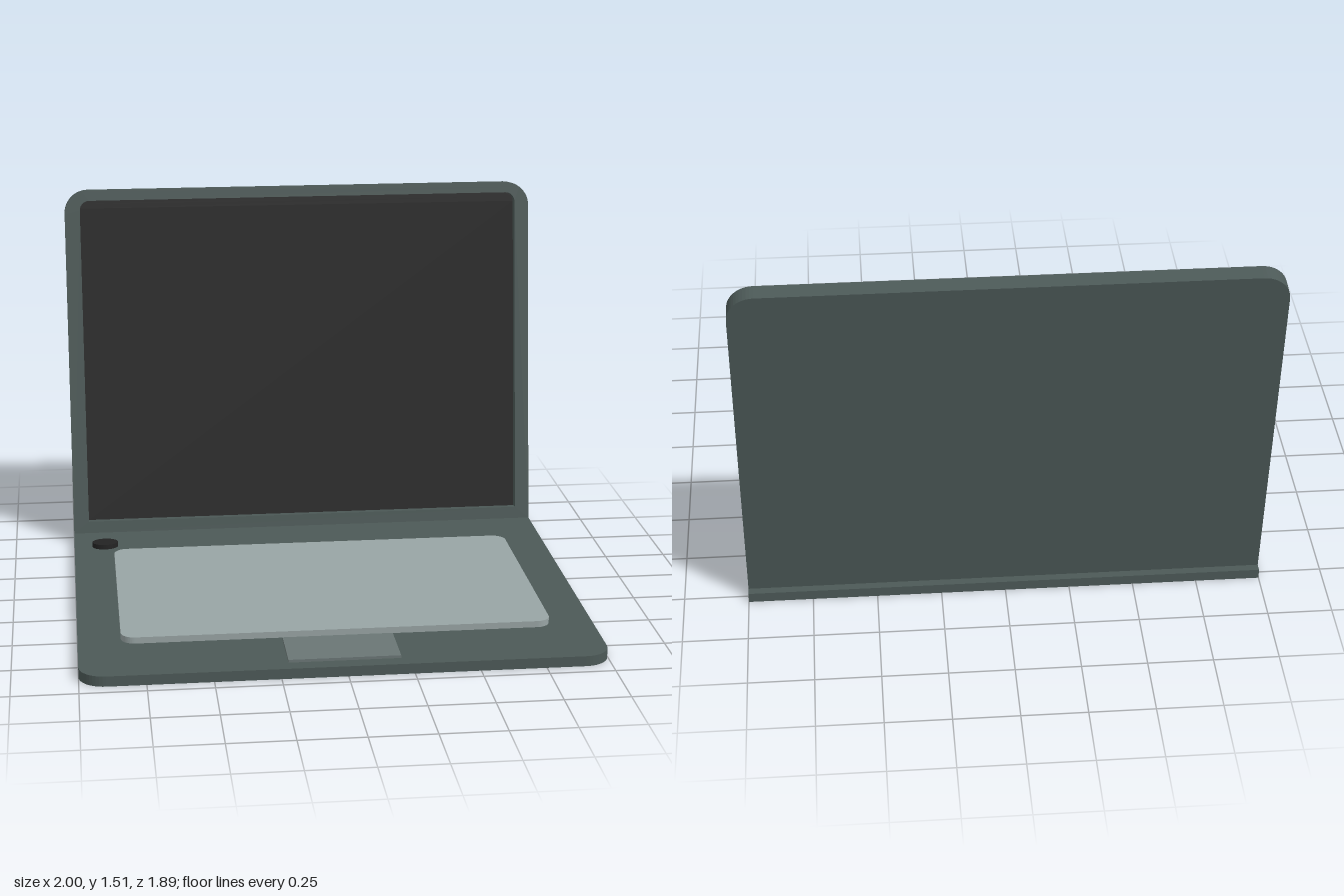
import * as THREE from 'three';

const paint = (name, color) => {
  const m = new THREE.MeshStandardMaterial({ color });
  m.name = name;
  return m;
};

// Traces a rectangle whose bottom and top corners have their own radii
function trace(path, x0, x1, y0, y1, rBottom, rTop) {
  const corner = (cx, cy, r, a) => path.absarc(cx, cy, r, a, a + Math.PI / 2, false);
  path.moveTo(x0 + rBottom, y0);
  path.lineTo(x1 - rBottom, y0);
  if (rBottom) corner(x1 - rBottom, y0 + rBottom, rBottom, -Math.PI / 2);
  path.lineTo(x1, y1 - rTop);
  if (rTop) corner(x1 - rTop, y1 - rTop, rTop, 0);
  path.lineTo(x0 + rTop, y1);
  if (rTop) corner(x0 + rTop, y1 - rTop, rTop, Math.PI / 2);
  path.lineTo(x0, y0 + rBottom);
  if (rBottom) corner(x0 + rBottom, y0 + rBottom, rBottom, Math.PI);
  return path;
}

const extrude = (shape, depth) =>
  new THREE.ExtrudeGeometry(shape, { depth, bevelEnabled: false, curveSegments: 6 });

function addMesh(parent, name, geometry, material) {
  const mesh = new THREE.Mesh(geometry, material);
  mesh.name = name;
  parent.add(mesh);
  return mesh;
}

// Flat slab lying between heights y0 and y1
function addSlab(parent, name, material, [x0, x1, zBack, zFront], y0, y1, rFront, rBack) {
  const shape = trace(new THREE.Shape(), x0, x1, -zFront, -zBack, rFront, rBack);
  const geometry = extrude(shape, y1 - y0).rotateX(-Math.PI / 2).translate(0, y0, 0);
  return addMesh(parent, name, geometry, material);
}

export function createModel() {
  const body = paint('body grey', 0x4c5957);
  const keys = paint('keyboard grey', 0x98a4a4);
  const pad = paint('trackpad grey', 0x6a7675);
  const black = paint('screen black', 0x232323);

  const model = new THREE.Group();
  model.name = 'laptop';

  // Base with rounded front corners, and the raised plates on it
  addSlab(model, 'base', body, [-1, 1, -0.785, 0.945], 0, 0.04, 0.1, 0);
  addSlab(model, 'keyboard', keys, [-0.835, 0.83, -0.39, 0.63], 0.038, 0.065, 0.055, 0.055);
  addSlab(model, 'trackpad', pad, [-0.22, 0.205, 0.655, 0.885], 0.038, 0.051, 0, 0);

  // Oval power button
  const button = addMesh(model, 'powerButton', new THREE.CylinderGeometry(1, 1, 0.022, 24), black);
  button.scale.set(0.054, 1, 0.042);
  button.position.set(-0.87, 0.049, -0.505);

  // Lid leaning back: local z = 0 is its front face
  const lid = new THREE.Group();
  lid.name = 'lid';
  lid.position.set(0, 0.04, -0.685);
  lid.rotation.x = -0.129;
  model.add(lid);

  const height = 1.482, thickness = 0.068, recess = 0.044;
  const outline = () => trace(new THREE.Shape(), -1, 1, 0, height, 0, 0.1);
  const opening = (path) => trace(path, -0.935, 0.94, 0.05, 1.438, 0, 0.04);

  const frame = outline();
  frame.holes.push(opening(new THREE.Path()));
  addMesh(lid, 'bezel', extrude(frame, recess).translate(0, 0, -recess), body);
  addMesh(lid, 'lidBack', extrude(outline(), thickness - recess).translate(0, 0, -thickness), body);

  // Screen on the floor of the recess
  addMesh(lid, 'screen', extrude(opening(new THREE.Shape()), 0.004).translate(0, 0, -recess), black);

  return model;
}
